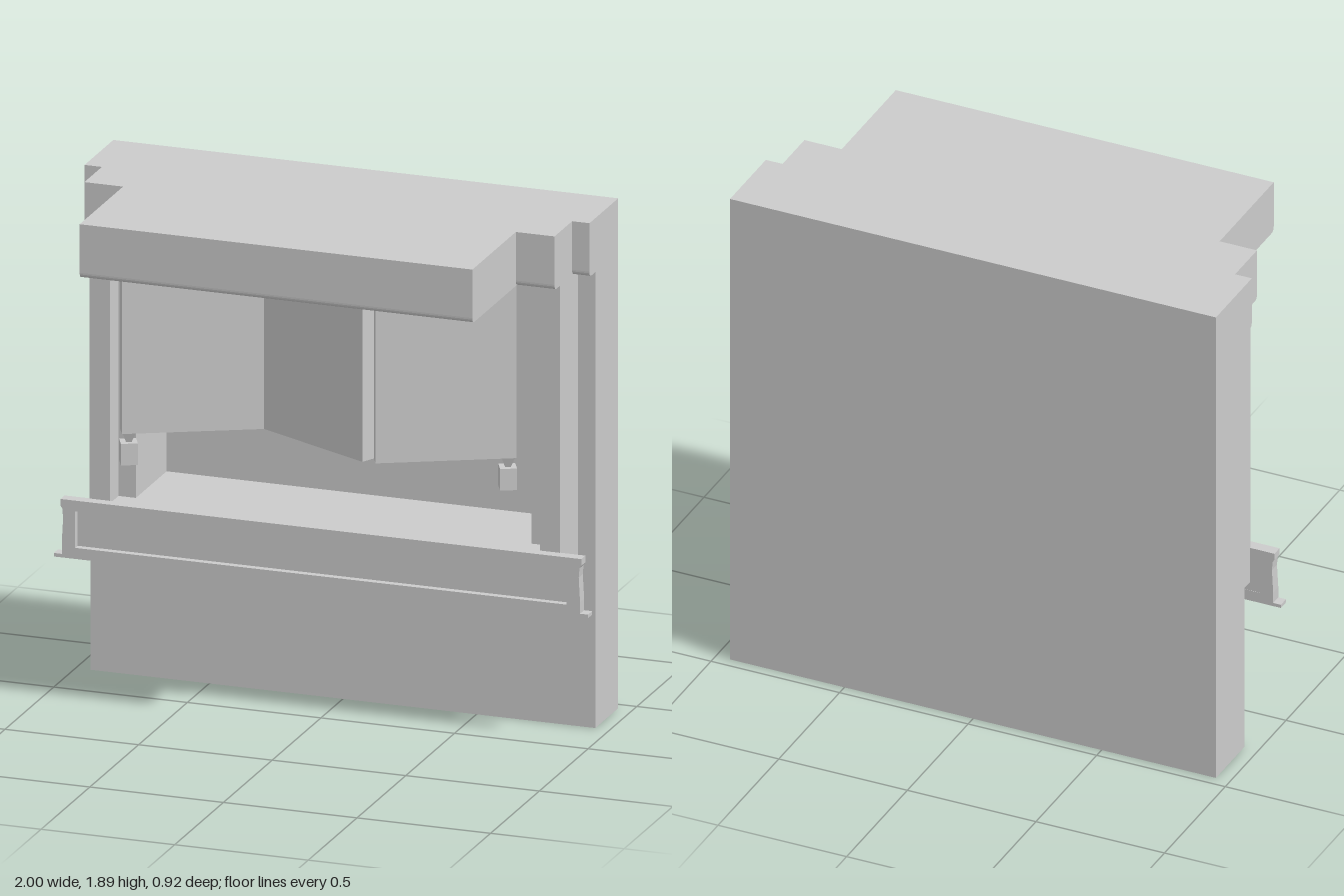
import * as THREE from 'three';

const material = new THREE.MeshStandardMaterial({ color: 0xcccccc, flatShading: true });

export function createModel() {
  const model = new THREE.Group();

  const add = (name, geometry, parent = model) => {
    const mesh = new THREE.Mesh(geometry, material);
    mesh.name = name;
    parent.add(mesh);
    return mesh;
  };
  // Box given by its limits
  const box = (name, x0, x1, y0, y1, z0, z1) =>
    add(name, new THREE.BoxGeometry(x1 - x0, y1 - y0, z1 - z0)
      .translate((x0 + x1) / 2, (y0 + y1) / 2, (z0 + z1) / 2));
  const shapeOf = (points) => new THREE.Shape(points.map(([a, b]) => new THREE.Vector2(a, b)));
  const extrude = (shape, depth) =>
    new THREE.ExtrudeGeometry(shape, { depth, bevelEnabled: false, curveSegments: 6 });
  const mirrored = (half) => [...half, ...half.map(([x, y]) => [-x, y]).reverse()];

  const top = 1.89, soffit = 1.69, counterY = 0.69, back = -0.46;

  // Lower wall and the counter standing out from it
  box('lowerWall', -0.945, 0.945, 0, counterY, back, -0.225);
  box('counter', -0.88, 0.88, 0.56, counterY, -0.23, -0.04);

  // Upper wall: U-shaped plan with stepped jambs and pilasters around the recess
  const plan = mirrored([
    [0.945, back], [0.945, -0.225], [0.88, -0.225], [0.88, -0.04],
    [0.805, -0.04], [0.805, -0.13], [0.74, -0.13], [0.74, -0.445],
  ]).map(([x, z]) => [x, -z]);
  add('upperWall', extrude(shapeOf(plan), soffit - counterY)
    .rotateX(-Math.PI / 2).translate(0, counterY, 0));

  // Stepped canopy, each step with a rounded lower front edge
  const canopyStep = (name, halfWidth, z0, z1) => {
    const r = 0.02;
    const s = new THREE.Shape();
    s.moveTo(z0, soffit);
    s.lineTo(z1 - r, soffit);
    s.quadraticCurveTo(z1, soffit, z1, soffit + r);
    s.lineTo(z1, top);
    s.lineTo(z0, top);
    s.closePath();
    add(name, extrude(s, halfWidth * 2).rotateY(-Math.PI / 2).translate(halfWidth, 0, 0));
  };
  canopyStep('canopyBack', 0.945, back, -0.165);
  canopyStep('canopyMiddle', 0.88, -0.2, 0.015);
  canopyStep('canopyFront', 0.735, -0.02, 0.46);

  // Folding screen: three hinged leaves in a zigzag
  const t = 0.055;
  const leaf = (x0, z0, x1, z1) => {
    const length = Math.hypot(x1 - x0, z1 - z0);
    const angle = Math.atan2(z0 - z1, x1 - x0);
    const mesh = add('screenLeaf', new THREE.BoxGeometry(length, soffit - 1.02, t)
      .translate(length / 2, (soffit + 1.02) / 2, -t / 2));
    mesh.position.set(x0, 0, z0);
    mesh.rotation.y = angle;
    return angle;
  };
  const angle = leaf(-0.69, 0.15, -0.24, -0.075);
  leaf(-0.24, -0.075, 0.21, 0.15);
  leaf(0.26, 0.15, 0.705, -0.075);

  // Blocks on tapered necks below the outer ends of the screen
  for (const [x, z] of [[-0.68, 0.11], [0.668, -0.085]]) {
    const foot = new THREE.Group();
    foot.name = 'screenFoot';
    foot.position.set(x, 0, z);
    foot.rotation.y = angle;
    add('footBlock', new THREE.BoxGeometry(0.06, 0.08, 0.06).translate(0, 0.943, 0), foot);
    add('footNeck', new THREE.CylinderGeometry(0.034, 0.014, 0.04, 4)
      .rotateY(Math.PI / 4).translate(0, 1.002, 0), foot);
    model.add(foot);
  }

  // Front panel: frame with a shallow recess, and a thin ledge below
  const frame = shapeOf(mirrored([
    [0.97, 0.49], [0.97, 0.54], [0.965, 0.63], [0.968, 0.665], [0.975, 0.675], [0.975, 0.7],
  ]));
  frame.holes.push(new THREE.Path([
    [-0.92, 0.525], [-0.92, 0.66], [0.92, 0.66], [0.92, 0.525],
  ].map(([x, y]) => new THREE.Vector2(x, y))));
  add('panelFrame', extrude(frame, 0.042).translate(0, 0, -0.042));
  box('panelInset', -0.93, 0.93, 0.52, 0.665, -0.041, -0.025);
  box('panelLedge', -1, 1, 0.484, 0.497, -0.042, 0);

  return model;
}
